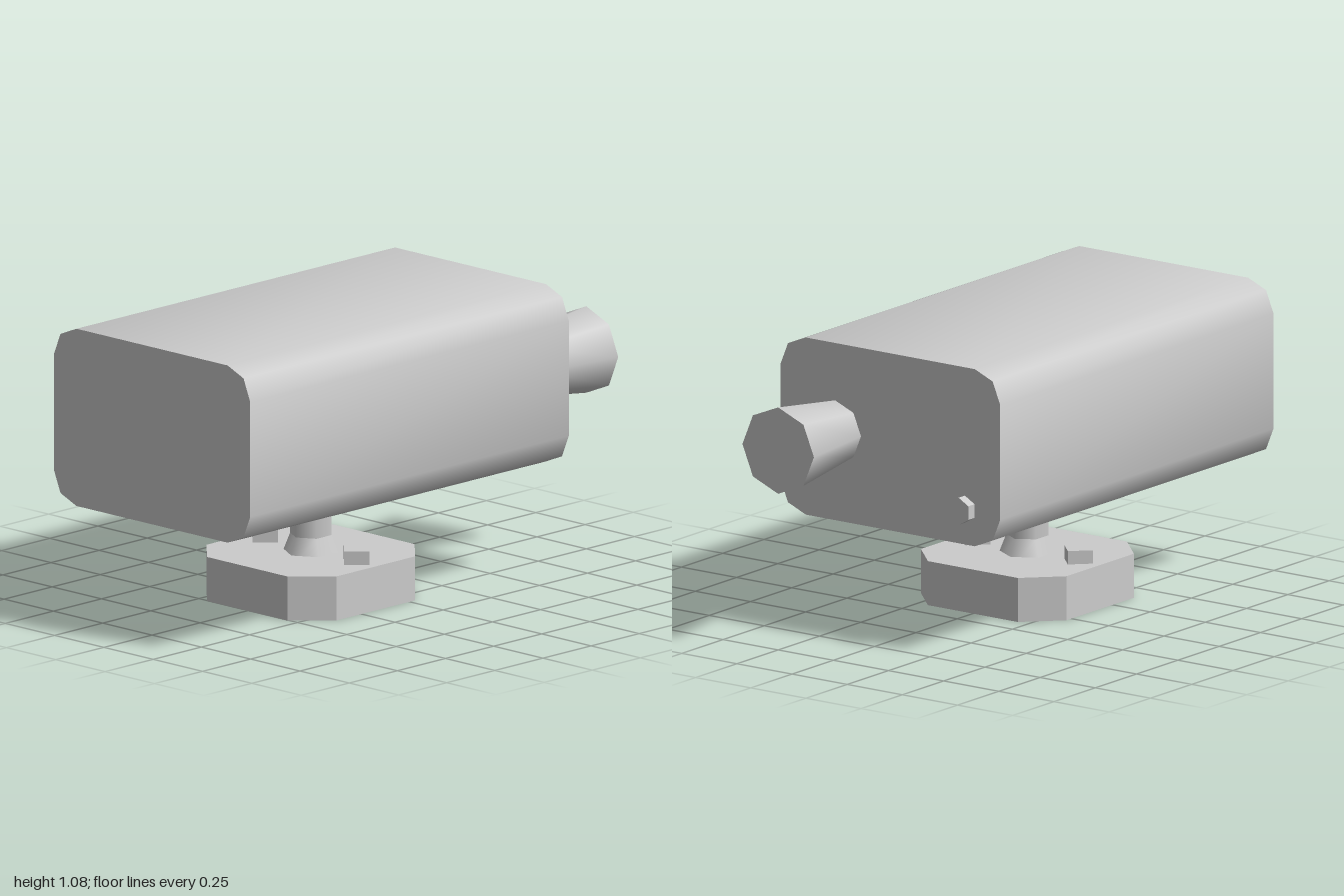
import * as THREE from 'three';
import { toCreasedNormals } from 'three/addons/utils/BufferGeometryUtils.js';

const grey = new THREE.MeshStandardMaterial({ color: 0xcccccc });
const greyFlat = new THREE.MeshStandardMaterial({ color: 0xcccccc, flatShading: true });
const greyOpen = new THREE.MeshStandardMaterial({ color: 0xcccccc, flatShading: true, side: THREE.DoubleSide });

// Shape symmetric about both axes, from the points of its first quadrant
function mirroredShape(quarter) {
  const back = [...quarter].reverse();
  const points = [
    ...quarter,
    ...back.map(([x, y]) => [-x, y]),
    ...quarter.map(([x, y]) => [-x, -y]),
    ...back.map(([x, y]) => [x, -y]),
  ];
  return new THREE.Shape(points.map(([x, y]) => new THREE.Vector2(x, y)));
}

// Remove the cap lying at z = 0 of an extrusion, leaving it open there
function openBottom(geometry) {
  const source = geometry.index ? geometry.toNonIndexed() : geometry;
  const p = source.attributes.position;
  const kept = [];
  for (let i = 0; i < p.count; i += 3) {
    const corners = [i, i + 1, i + 2];
    if (corners.every((k) => Math.abs(p.getZ(k)) < 1e-6)) continue;
    for (const k of corners) kept.push(p.getX(k), p.getY(k), p.getZ(k));
  }
  const open = new THREE.BufferGeometry();
  open.setAttribute('position', new THREE.Float32BufferAttribute(kept, 3));
  open.computeVertexNormals();
  return open;
}

export function createModel() {
  const group = new THREE.Group();
  const add = (name, geometry, material, x, y, z) => {
    const mesh = new THREE.Mesh(geometry, material);
    mesh.name = name;
    mesh.position.set(x, y, z);
    group.add(mesh);
    return mesh;
  };

  // Long housing with softly rounded corners and flat ends
  const profile = mirroredShape([[0.498, 0.215], [0.464, 0.298], [0.383, 0.332]]);
  const housing = new THREE.ExtrudeGeometry(profile, { depth: 1.655, bevelEnabled: false });
  add('housing', toCreasedNormals(housing, THREE.MathUtils.degToRad(55)), grey, 0, 0.747, -0.655);

  // Flared eight-sided barrel and small knob on the back
  const barrel = new THREE.CylinderGeometry(0.117, 0.162, 0.345, 8).rotateX(Math.PI / 2);
  add('rearBarrel', barrel, grey, 0.25, 0.747, -0.8275);
  const knob = new THREE.CylinderGeometry(0.051, 0.051, 0.04, 6).rotateX(Math.PI / 2);
  add('rearKnob', knob, greyFlat, -0.338, 0.547, -0.673);

  // Six-sided neck, its flared foot passing through the base plate
  add('neck', new THREE.CylinderGeometry(0.0775, 0.0775, 0.19, 6, 1, true), grey, 0, 0.323, 0.175);
  add('neckFoot', new THREE.CylinderGeometry(0.0775, 0.1275, 0.13, 6), grey, 0, 0.163, 0.175);

  // Hollow base with cut corners, open underneath
  const plan = mirroredShape([[0.33, 0.204], [0.204, 0.33]]);
  const base = openBottom(new THREE.ExtrudeGeometry(plan, { depth: 0.165, bevelEnabled: false }));
  add('base', base.rotateX(-Math.PI / 2), greyOpen, 0, 0, 0.175);

  // Four-sided bolt heads, set corner to the front
  for (const [side, name] of [[1, 'leftBolt'], [-1, 'rightBolt']]) {
    add(name, new THREE.CylinderGeometry(0.065, 0.065, 0.05, 4), greyFlat, side * 0.232, 0.19, 0.175);
  }

  return group;
}
